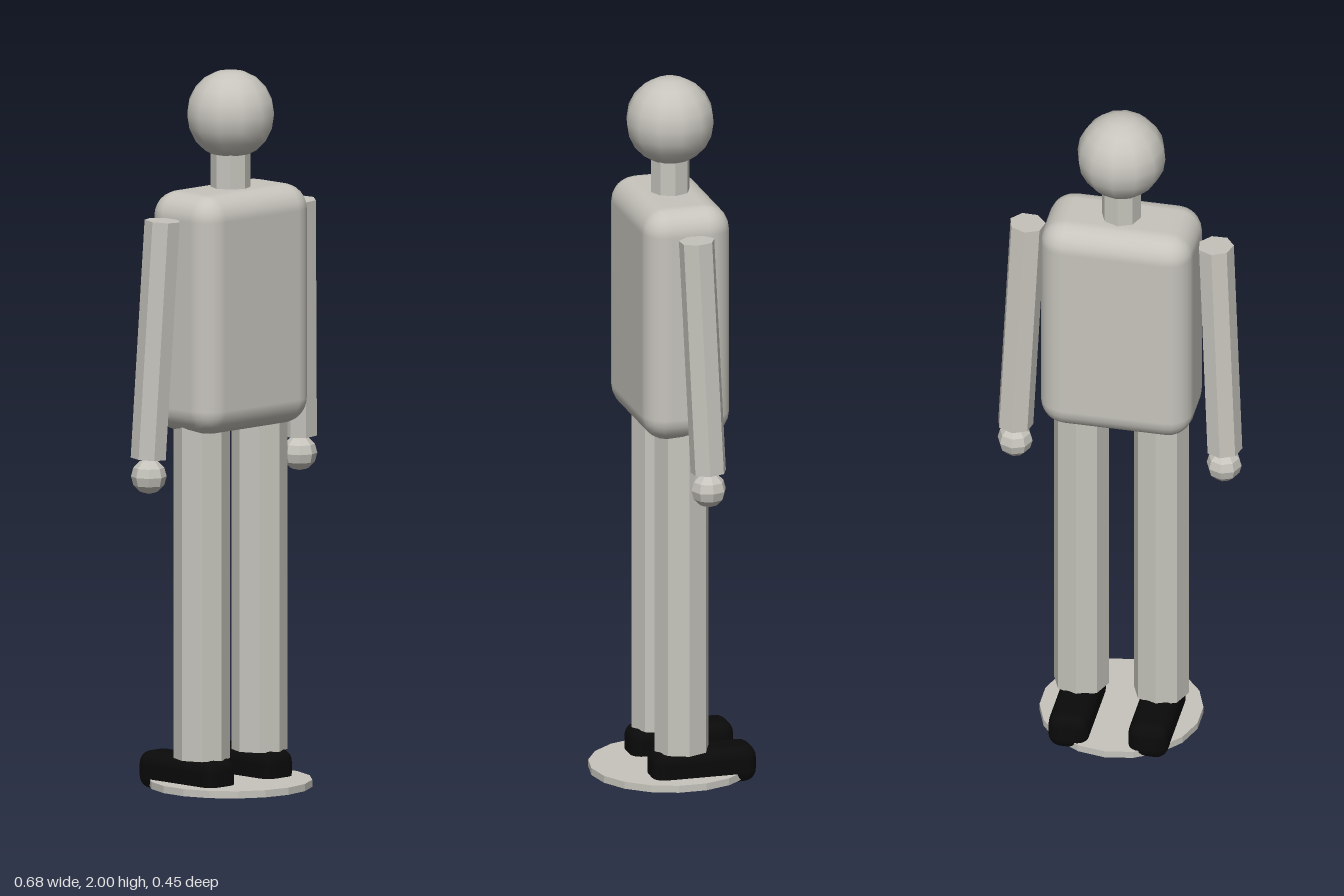
import * as THREE from 'three';
import { RoundedBoxGeometry } from 'three/addons/geometries/RoundedBoxGeometry.js';

export function createModel() {
  const model = new THREE.Group();
  model.name = 'standingFigure';

  const grey = new THREE.MeshStandardMaterial({ color: 0xc6c4bc });
  grey.name = 'warm grey';
  const black = new THREE.MeshStandardMaterial({ color: 0x0a0a0a });
  black.name = 'shoe black';

  const add = (name, geometry, material, x, y, z) => {
    const mesh = new THREE.Mesh(geometry, material);
    mesh.name = name;
    mesh.position.set(x, y, z);
    model.add(mesh);
    return mesh;
  };

  // Faceted parts: split the vertices so every side is flat
  const faceted = (geometry) => {
    const flat = geometry.toNonIndexed();
    flat.computeVertexNormals();
    return flat;
  };

  // Straight faceted limb from one point to another, one corner facing the lean
  const limb = (name, from, to, radius, sides) => {
    const axis = from.clone().sub(to);
    const lean = Math.atan2(-axis.x, -axis.z);
    const geometry = faceted(new THREE.CylinderGeometry(
      radius, radius, axis.length(), sides, 1, false, lean));
    const middle = from.clone().add(to).multiplyScalar(0.5);
    const mesh = add(name, geometry, grey, middle.x, middle.y, middle.z);
    mesh.quaternion.setFromUnitVectors(new THREE.Vector3(0, 1, 0), axis.normalize());
  };

  // Base disc
  add('base', faceted(new THREE.CylinderGeometry(0.225, 0.225, 0.02, 18)), grey, 0, 0.02, 0);

  // Torso, neck and head
  add('torso', new RoundedBoxGeometry(0.426, 0.665, 0.248, 3, 0.07), grey, 0, 1.342, 0);
  add('neck', faceted(new THREE.CylinderGeometry(0.055, 0.055, 0.13, 8)), grey, 0, 1.71, 0);
  add('head', new THREE.SphereGeometry(0.123, 12, 10), grey, 0, 1.877, 0);

  // Legs, feet, arms and hands, mirrored
  for (const [side, s] of [['left', 1], ['right', -1]]) {
    add(side + 'Leg', faceted(new THREE.CylinderGeometry(0.077, 0.077, 0.93, 8)),
      grey, s * 0.112, 0.565, 0);
    add(side + 'Foot', new RoundedBoxGeometry(0.112, 0.105, 0.295, 3, 0.035),
      black, s * 0.112, 0.0525, -0.0575);
    limb(side + 'Arm', new THREE.Vector3(s * 0.264, 1.61, 0),
      new THREE.Vector3(s * 0.293, 0.95, -0.025), 0.05, 7);
    add(side + 'Hand', faceted(new THREE.SphereGeometry(0.049, 8, 6)),
      grey, s * 0.293, 0.9, -0.025);
  }
  return model;
}
